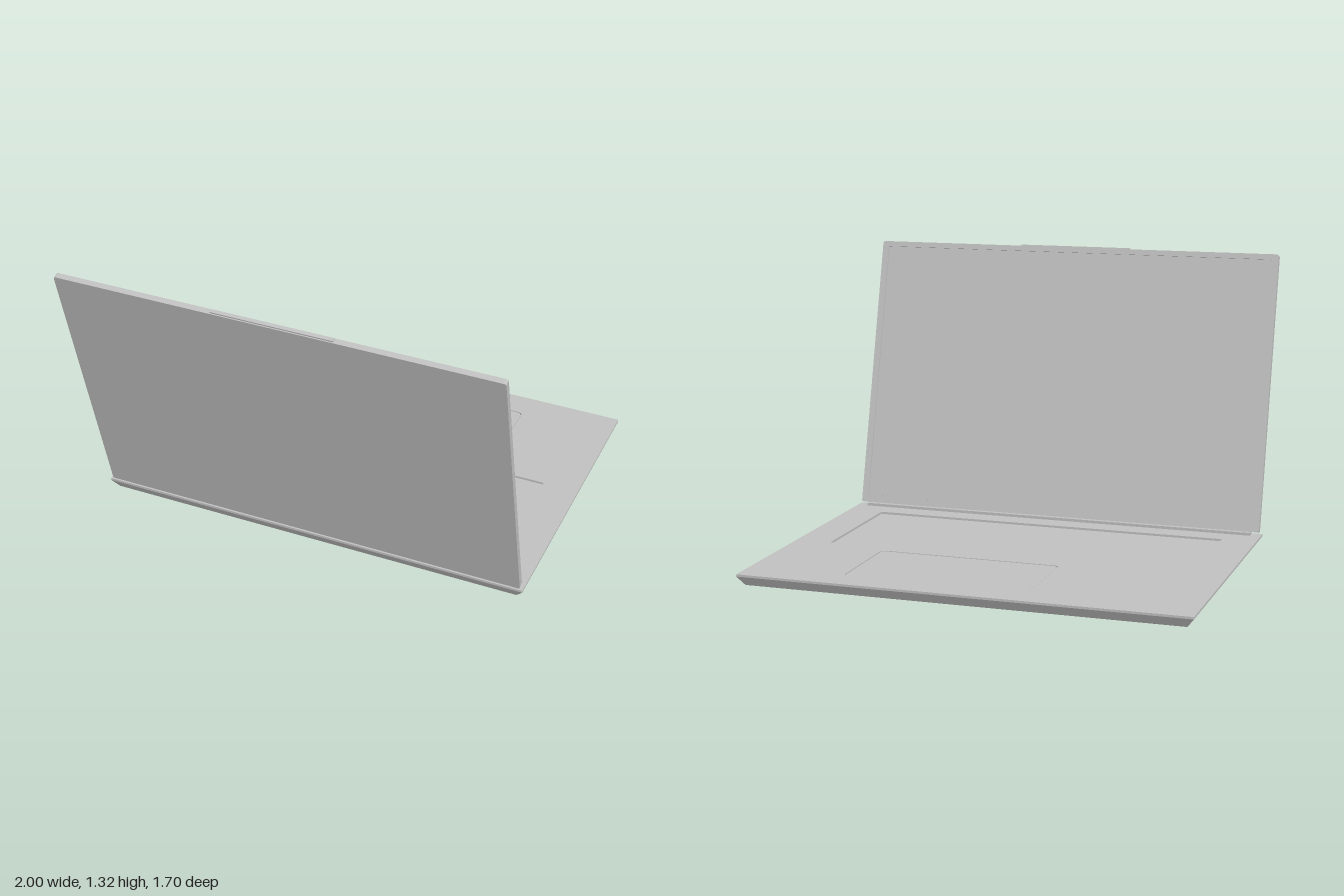
import * as THREE from 'three';

// Rounded rectangle outline between two corners
function roundRect(x0, y0, x1, y1, r, Type = THREE.Shape) {
  const s = new Type();
  s.moveTo(x0 + r, y0);
  s.lineTo(x1 - r, y0); s.quadraticCurveTo(x1, y0, x1, y0 + r);
  s.lineTo(x1, y1 - r); s.quadraticCurveTo(x1, y1, x1 - r, y1);
  s.lineTo(x0 + r, y1); s.quadraticCurveTo(x0, y1, x0, y1 - r);
  s.lineTo(x0, y0 + r); s.quadraticCurveTo(x0, y0, x0 + r, y0);
  return s;
}

const plate = (shape, depth) =>
  new THREE.ExtrudeGeometry(shape, { depth, bevelEnabled: false, curveSegments: 6 });

export function createModel() {
  const model = new THREE.Group();
  const metal = new THREE.MeshStandardMaterial({ color: 0xc0c0c0 });
  metal.name = 'silver metal';

  function add(parent, name, geometry, x = 0, y = 0, z = 0) {
    const mesh = new THREE.Mesh(geometry, metal);
    mesh.name = name;
    mesh.position.set(x, y, z);
    parent.add(mesh);
    return mesh;
  }

  // Base: tray whose sides taper in towards the bottom
  const base = new THREE.Group();
  base.name = 'base';
  model.add(base);
  const tray = new THREE.BoxGeometry(2, 0.04, 1.38);
  const p = tray.attributes.position;
  for (let i = 0; i < p.count; i++) {
    if (p.getY(i) < 0) {
      p.setX(i, Math.sign(p.getX(i)) * 0.968);
      p.setZ(i, Math.sign(p.getZ(i)) * 0.668);
    }
  }
  tray.computeVertexNormals();
  add(base, 'tray', tray, 0, 0.02, -0.16);

  // Deck with openings for the keyboard well and touchpad (shape y is -z)
  const deck = roundRect(-1, -0.53, 1, 0.85, 0.006);
  deck.holes.push(
    roundRect(-0.84, -0.38, 0.835, 0.23, 0.004, THREE.Path),
    roundRect(-0.27, 0.29, 0.56, 0.72, 0.025, THREE.Path)
  );
  add(base, 'deck', plate(deck, 0.01), 0, 0.04, 0).rotation.x = -Math.PI / 2;
  const pad = roundRect(-0.267, 0.293, 0.557, 0.717, 0.023);
  add(base, 'touchpad', plate(pad, 0.008), 0, 0.04, 0).rotation.x = -Math.PI / 2;

  // Hinge bar
  add(base, 'hinge', new THREE.BoxGeometry(1.9, 0.02, 0.035), 0, 0.053, 0.498);

  // Lid: leans back from the hinge; its outer face is local z = 0
  const lid = new THREE.Group();
  lid.name = 'lid';
  lid.position.set(0, 0.056, 0.528);
  lid.rotation.x = Math.atan2(0.325, 1.25);
  model.add(lid);
  const H = 1.292;
  add(lid, 'lidShell', plate(roundRect(-0.988, 0, 0.988, H, 0.012), 0.02), 0, 0, -0.02);
  const frame = roundRect(-0.988, 0, 0.988, H, 0.012);
  frame.holes.push(roundRect(-0.957, 0.03, 0.957, H - 0.025, 0.004, THREE.Path));
  add(lid, 'screenFrame', plate(frame, 0.007), 0, 0, -0.027);
  add(lid, 'screen', new THREE.BoxGeometry(1.9, H - 0.07, 0.002), 0, H / 2, -0.021);

  // Raised lip in the middle of the top edge
  add(lid, 'topLip', new THREE.BoxGeometry(0.54, 0.012, 0.018), 0, H, -0.014);

  return model;
}
